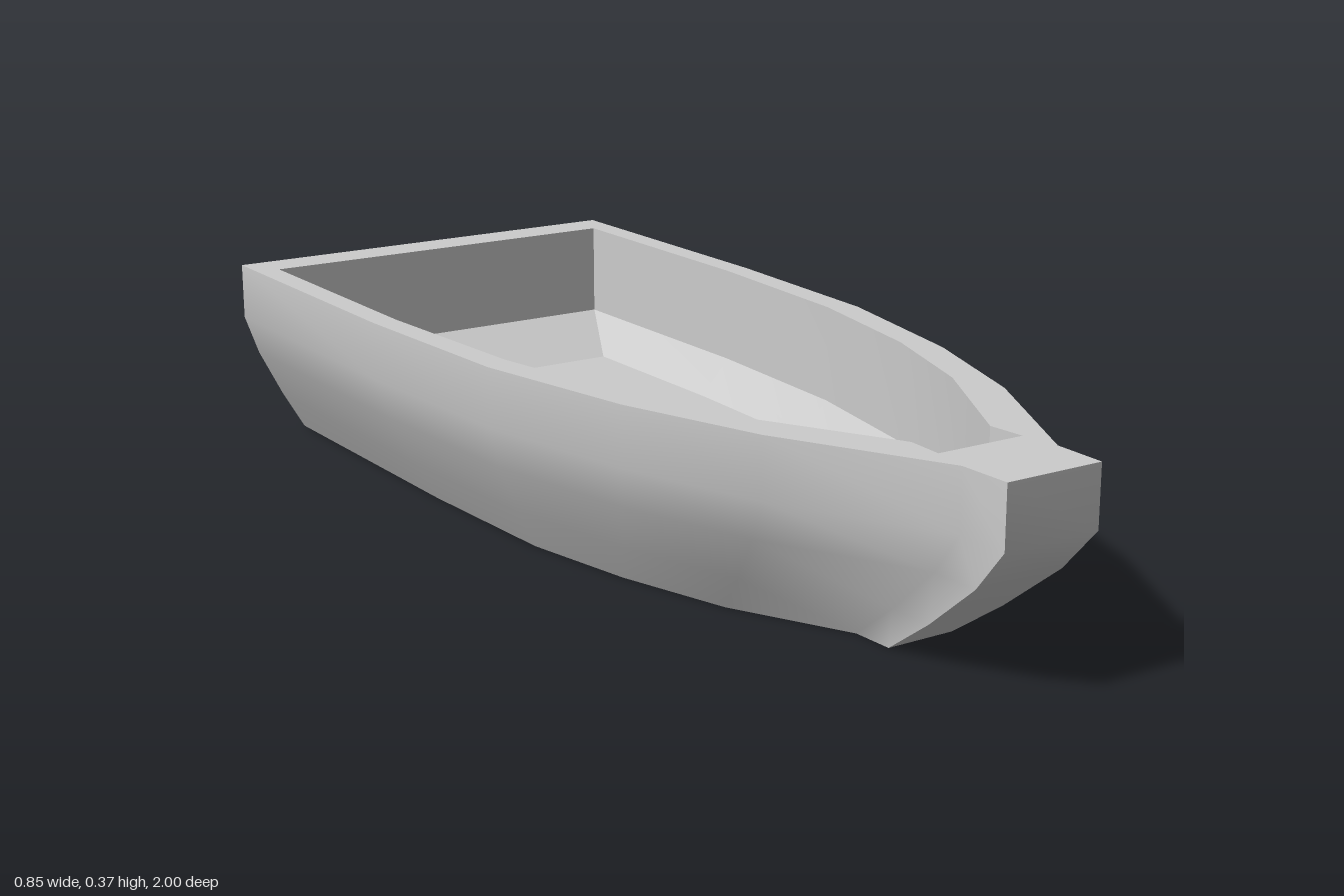
import * as THREE from 'three';
import { toCreasedNormals } from 'three/addons/utils/BufferGeometryUtils.js';

// Half outlines [x, z] from stern to bow
const TOP = [[0.425, -1], [0.425, -0.4], [0.405, 0], [0.34, 0.33], [0.25, 0.6], [0.096, 0.9], [0.094, 1]];
const KEEL = [[0.302, -1], [0.302, -0.4], [0.288, -0.05], [0.245, 0.18], [0.18, 0.4], [0.07, 0.62], [0.066, 0.7]];
const INNER = [[0.378, -0.92], [0.378, -0.4], [0.355, -0.03], [0.3, 0.26], [0.22, 0.5], [0.08, 0.76], [0.086, 0.83]];
const FLOOR = [[0.32, -0.79], [0.32, -0.4], [0.305, -0.05], [0.258, 0.2], [0.185, 0.42], [0.07, 0.64], [0.076, 0.7]];

const HEIGHT = 0.365, KNUCKLE_Y = 0.18, FLOOR_Y = 0.108;

// Mirrored closed outline at height y
const ring = (half, y) => [
  ...half.map(([x, z]) => [x, y, z]),
  ...[...half].reverse().map(([x, z]) => [-x, y, z]),
];

// Port-to-starboard rows that fill an outline at height y
const deckRows = (half, y) => half.map(([x, z]) => [[-x, y, z], [x, y, z]]);

const blend = (a, b, t) => a.map(([x, z], i) => [x + (b[i][0] - x) * t, z + (b[i][1] - z) * t]);

// Skin between successive rows of points
function skin(rows, closed, crease) {
  const pos = [];
  for (let r = 0; r < rows.length - 1; r++) {
    const n = rows[r].length;
    for (let i = 0; i < (closed ? n : n - 1); i++) {
      const j = (i + 1) % n;
      const a = rows[r][i], b = rows[r][j], c = rows[r + 1][j], d = rows[r + 1][i];
      pos.push(...a, ...d, ...c, ...a, ...c, ...b);
    }
  }
  const geo = new THREE.BufferGeometry();
  geo.setAttribute('position', new THREE.Float32BufferAttribute(pos, 3));
  return toCreasedNormals(geo, crease);
}

export function createModel() {
  const group = new THREE.Group();
  group.name = 'boat';
  const material = new THREE.MeshStandardMaterial({ color: 0xcccccc });
  const add = (name, geo) => {
    const mesh = new THREE.Mesh(geo, material);
    mesh.name = name;
    group.add(mesh);
  };

  // Outer planking with stem and flat transom: [height, flare from keel to rim]
  const levels = [[0, 0], [0.078, 0.37], [0.175, 0.77], [0.255, 1], [HEIGHT, 1]];
  add('hull', skin(levels.map(([y, t]) => ring(blend(KEEL, TOP, t), y)), true, 0.85));
  add('hullBottom', skin(deckRows(KEEL, 0).reverse(), false, 0.5));

  // Flat rim around the opening
  add('gunwale', skin([ring(TOP, HEIGHT), ring(INNER, HEIGHT)], true, 0.5));

  // Upright inner walls, sloped lower band and floor
  add('innerWall', skin([ring(INNER, HEIGHT), ring(INNER, KNUCKLE_Y)], true, 0.4));
  add('innerSlope', skin([ring(INNER, KNUCKLE_Y), ring(FLOOR, FLOOR_Y)], true, 0.2));
  add('floor', skin(deckRows(FLOOR, FLOOR_Y), false, 0.5));

  return group;
}
